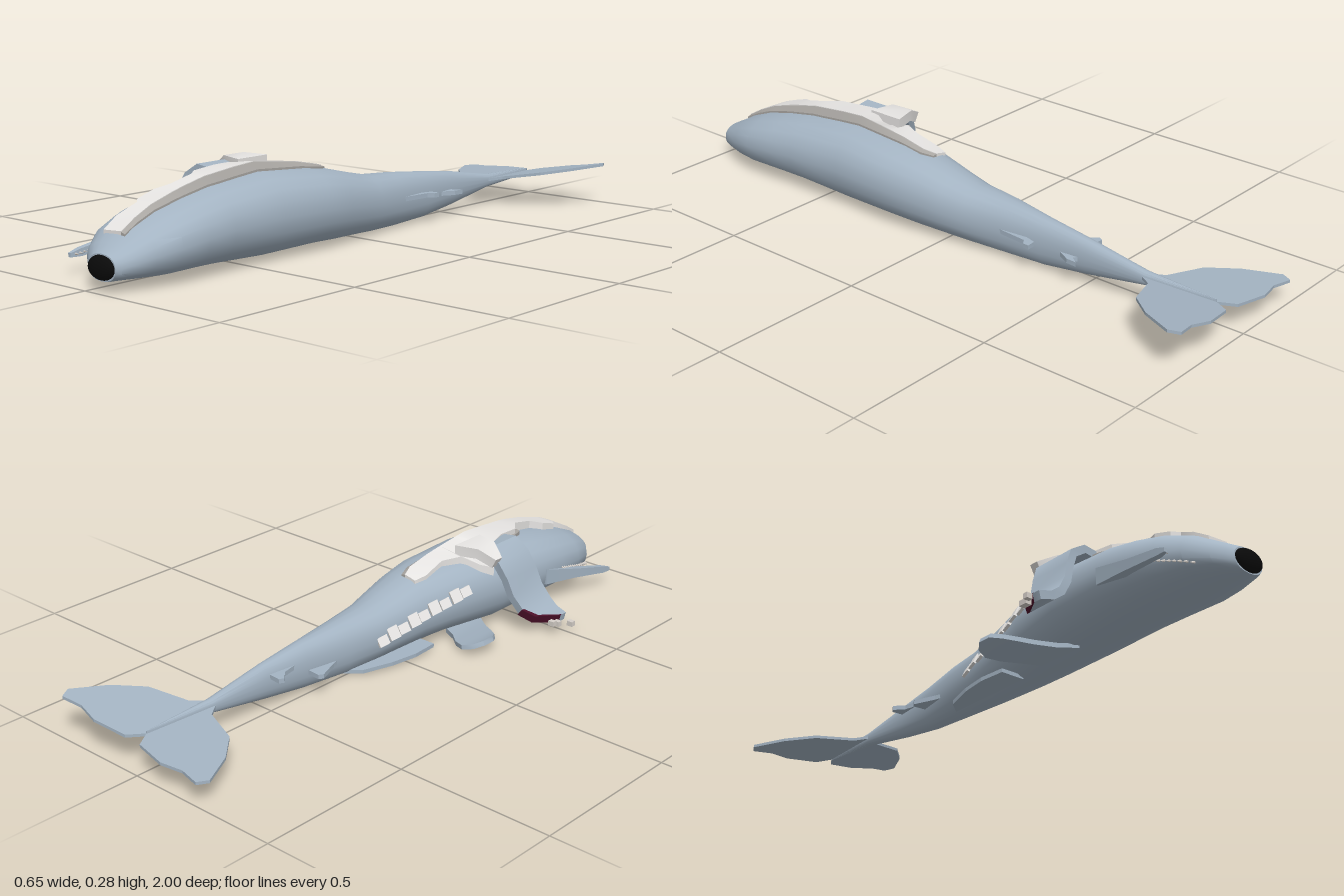
import * as THREE from 'three';
import { toCreasedNormals } from 'three/addons/utils/BufferGeometryUtils.js';

const mat = (name, color) => {
  const m = new THREE.MeshStandardMaterial({ color, side: THREE.DoubleSide });
  m.name = name;
  return m;
};

// Skin through closed rings of [x, y, z] points, with fan caps
function loft(rings, crease = 0.5) {
  const n = rings[0].length, pos = rings.flat(2), idx = [];
  const last = (rings.length - 1) * n;
  for (let i = 0; i < rings.length - 1; i++) for (let j = 0; j < n; j++) {
    const a = i * n + j, b = i * n + (j + 1) % n;
    idx.push(a, b, b + n, a, b + n, a + n);
  }
  for (let j = 1; j < n - 1; j++) idx.push(0, j + 1, j, last, last + j, last + j + 1);
  const g = new THREE.BufferGeometry();
  g.setAttribute('position', new THREE.Float32BufferAttribute(pos, 3));
  g.setIndex(idx);
  return toCreasedNormals(g, crease);
}

// Thin horizontal plate from an [x, z] outline, lifted by a height rule
function plate(outline, height, thick) {
  const shape = new THREE.Shape(outline.map(([x, z]) => new THREE.Vector2(x, -z)));
  const g = new THREE.ExtrudeGeometry(shape, { depth: thick, bevelEnabled: false });
  g.rotateX(-Math.PI / 2);
  const p = g.attributes.position;
  for (let i = 0; i < p.count; i++) p.setY(i, p.getY(i) + height(p.getX(i)));
  g.computeVertexNormals();
  return g;
}

// Body stations: z, left x, right x, bottom y, top y
const stations = [
  [-0.93, 0.033, 0.037, 0.08, 0.1], [-0.7, 0.018, 0.052, 0.065, 0.108],
  [-0.5, 0.008, 0.063, 0.032, 0.142], [-0.35, -0.008, 0.076, 0.013, 0.16],
  [-0.2, -0.035, 0.093, 0.006, 0.175], [-0.08, -0.05, 0.113, 0.007, 0.183],
  [0, -0.062, 0.13, 0.01, 0.2],
  [0.1, -0.076, 0.147, 0.012, 0.224], [0.2, -0.1, 0.162, 0.015, 0.24],
  [0.4, -0.14, 0.16, 0.008, 0.256], [0.6, -0.148, 0.164, 0.016, 0.238],
  [0.7, -0.143, 0.167, 0.018, 0.22], [0.8, -0.13, 0.165, 0.019, 0.195],
  [0.88, -0.105, 0.148, 0.024, 0.164], [0.94, -0.06, 0.122, 0.029, 0.128],
  [0.965, -0.028, 0.11, 0.031, 0.115], [0.98, -0.008, 0.1, 0.033, 0.107],
];
function section(z) {
  let i = 0;
  while (i < stations.length - 2 && stations[i + 1][0] < z) i++;
  const a = stations[i], b = stations[i + 1], t = (z - a[0]) / (b[0] - a[0]);
  const [l, r, d, u] = [1, 2, 3, 4].map(k => a[k] + (b[k] - a[k]) * t);
  return { cx: (l + r) / 2, cy: (d + u) / 2, rx: (r - l) / 2, ry: (u - d) / 2 };
}
const POWER = 2.3;
const topAt = (x, z) => {
  const s = section(z), q = Math.min(1, Math.abs((x - s.cx) / s.rx));
  return s.cy + s.ry * Math.pow(1 - Math.pow(q, POWER), 1 / POWER);
};
const sideAt = (y, z) => {
  const s = section(z), q = Math.min(1, Math.abs((y - s.cy) / s.ry));
  return s.cx - s.rx * Math.pow(1 - Math.pow(q, POWER), 1 / POWER);
};
const bodyRing = z => {
  const s = section(z), ring = [], e = 2 / POWER;
  for (let j = 0; j < 20; j++) {
    const a = j / 20 * Math.PI * 2, c = Math.cos(a), n = Math.sin(a);
    ring.push([s.cx + s.rx * Math.sign(c) * Math.abs(c) ** e, s.cy + s.ry * Math.sign(n) * Math.abs(n) ** e, z]);
  }
  return ring;
};

// Slab following a path of [x, y, zMin, zMax]; offset and thickness along its normal
function slab(path, offset, thick) {
  return loft(path.map(([x, y, z0, z1], i) => {
    const a = path[Math.max(0, i - 1)], b = path[Math.min(path.length - 1, i + 1)];
    const t = new THREE.Vector2(b[0] - a[0], b[1] - a[1]).normalize();
    const at = (o, z) => [x + t.y * o, y - t.x * o, z];
    const lo = offset, hi = offset + thick;
    return [at(lo, z1), at(hi, z1), at(hi, z0), at(lo, z0)];
  }), 0.6);
}

export function createModel() {
  const model = new THREE.Group();
  const skin = mat('blue grey skin', 0xa4b4c3), blubber = mat('pale blubber', 0xf2f0ee);
  const edge = mat('grey blubber edge', 0xa8a5a1), black = mat('black', 0x0a0a0a);
  const flesh = mat('dark red flesh', 0x4c1029), bone = mat('bone', 0xd6d0ca);
  const add = (name, g, m, parent = model) => {
    const mesh = new THREE.Mesh(g, m);
    mesh.name = name;
    parent.add(mesh);
    return mesh;
  };
  const group = name => {
    const g = new THREE.Group();
    g.name = name;
    model.add(g);
    return g;
  };

  add('body', loft(stations.map(s => bodyRing(s[0])), 0.55), skin);

  // Blunt snout end
  const nose = add('noseCap', new THREE.SphereGeometry(1, 24, 12), black);
  nose.scale.set(0.051, 0.034, 0.02);
  nose.position.set(0.046, 0.07, 0.98);

  // Tail flukes, one side lifted and the other drooping
  const lobe = [[0, -0.67], [0.045, -0.735], [0.165, -0.78], [0.235, -0.86], [0.288, -0.965],
    [0.27, -0.998], [0.205, -0.985], [0.135, -1], [0.03, -0.98], [0, -0.93]];
  for (const [side, slope] of [[1, 0.17], [-1, 0.06]]) {
    const pts = lobe.map(([x, z]) => [0.035 + side * x, z]);
    add(side > 0 ? 'leftFluke' : 'rightFluke',
      plate(pts, x => 0.083 + slope * (x - 0.035), 0.009), skin);
  }

  // Pectoral fin curving up to its tip: x, y, zMin, zMax
  add('pectoralFin', slab([[-0.03, 0.004, 0.24, 0.4], [-0.08, 0.005, 0.215, 0.36], [-0.13, 0.014, 0.17, 0.32],
    [-0.17, 0.021, 0.15, 0.295], [-0.205, 0.029, 0.163, 0.268], [-0.226, 0.038, 0.19, 0.235]], 0, 0.015), skin);
  // Loose belly skin near the ground
  add('bellySkin', plate([[0, -0.2], [-0.045, -0.16], [-0.075, -0.06], [-0.088, 0.03], [-0.082, 0.12],
    [0, 0.12]], () => 0.012, 0.012), skin);

  // Small hooked skin tags along the tail stock: outline and height
  [
    [[[0.05, -0.2], [0.09, -0.34], [0.12, -0.342], [0.118, -0.322], [0.1, -0.31], [0.09, -0.2]], 0.088],
    [[[0.04, -0.5], [0.075, -0.47], [0.095, -0.495], [0.092, -0.46], [0.07, -0.42], [0.04, -0.4]], 0.075],
    [[[0.02, -0.35], [-0.05, -0.355], [-0.058, -0.34], [-0.03, -0.27], [-0.01, -0.2], [0.02, -0.2]], 0.068],
    [[[0.03, -0.49], [-0.03, -0.495], [-0.038, -0.48], [-0.01, -0.45], [0, -0.4], [0.03, -0.4]], 0.1],
  ].forEach(([pts, y], i) => add('skinTag' + (i + 1), plate(pts, () => y, 0.014), skin));

  // Raised strip of exposed blubber: z, left x, right x
  const strip = [[0.1, -0.02, 0.02], [0.14, -0.03, 0.035], [0.22, -0.025, 0.035], [0.28, -0.05, 0.035],
    [0.32, -0.1, 0.035], [0.36, -0.12, 0.035], [0.4, -0.075, 0.035], [0.48, -0.05, 0.035],
    [0.56, -0.045, 0.038], [0.6, -0.012, 0.038], [0.68, -0.01, 0.04], [0.72, -0.035, 0.04],
    [0.78, -0.035, 0.04], [0.8, -0.015, 0.04], [0.86, -0.03, 0.042], [0.91, -0.025, 0.045]];
  const rise = z => 0.008 + 0.02 * Math.sin(Math.PI * Math.min(1, Math.max(0, (z - 0.08) / 0.86)));
  add('blubberStrip', loft(strip.map(([z, l, r]) => [
    [r, topAt(r, z) - 0.03, z], [r, topAt(r, z) + rise(z), z],
    [l, topAt(l, z) + rise(z), z], [l, topAt(l, z) - 0.03, z]]), 0.5), blubber);
  add('blubberStripEdge', loft(strip.map(([z, , r]) => [
    [r + 0.014, topAt(r + 0.014, z) - 0.02, z], [r + 0.014, topAt(r + 0.014, z) + 0.005, z],
    [r, topAt(r, z) + rise(z) - 0.002, z], [r, topAt(r, z) - 0.02, z]]), 0.5), edge);
  add('blubberStep', loft([[0.46, -0.07], [0.52, -0.062], [0.59, -0.04]].map(([z, l]) => [
    [-0.02, 0.2, z], [-0.02, topAt(-0.02, z) + 0.012, z],
    [l, topAt(l, z) + 0.012, z], [l, 0.2, z]])), edge);

  // Peeled slab of blubber arching down to the ground
  const arch = [[-0.04, 0.238, 0.31, 0.5], [-0.09, 0.246, 0.33, 0.5], [-0.125, 0.224, 0.35, 0.5],
    [-0.148, 0.175, 0.365, 0.51], [-0.166, 0.12, 0.375, 0.52], [-0.2, 0.068, 0.39, 0.53],
    [-0.235, 0.042, 0.425, 0.528], [-0.28, 0.031, 0.495, 0.522]];
  add('peeledSlab', slab(arch, 0, 0.026), skin);
  add('peeledSlabRoot', slab([[-0.02, 0.248, 0.29, 0.41], [-0.09, 0.25, 0.31, 0.39], [-0.135, 0.226, 0.33, 0.36]],
    0, 0.034), blubber);
  // Raw flesh along the torn edge of the slab
  add('tornEdge', slab(arch.slice(5).map(([x, y, z], i) => [x, y, z - 0.006 - 0.006 * (i % 2), z + 0.004]),
    0, 0.027), flesh);
  const scraps = group('scraps');
  for (const [x, y, z] of [[-0.316, 0.032, 0.51], [-0.284, 0.041, 0.455], [-0.29, 0.036, 0.475]]) {
    const s = add('scrap', new THREE.BoxGeometry(0.02, 0.016, 0.016), bone, scraps);
    s.position.set(x, y, z);
  }

  // Open lower jaw
  const root = new THREE.Vector3(-0.128, 0.112, 0.6), tip = new THREE.Vector3(-0.181, 0.058, 0.9);
  const jawRing = (t, w, h) => {
    const p = root.clone().lerp(tip, t);
    return [[1, -1], [1, 1], [-1, 1], [-1, -1]].map(([a, b]) => [p.x + a * w, p.y + b * h, p.z]);
  };
  add('lowerJaw', loft([jawRing(0, 0.02, 0.026), jawRing(0.45, 0.013, 0.016), jawRing(0.9, 0.009, 0.011),
    jawRing(1, 0.005, 0.006)], 0.4), skin);

  // Facing rows of teeth on the jaw and the head
  const teeth = group('teeth');
  for (let i = 0; i < 16; i++) {
    const t = i / 15, p = root.clone().lerp(tip, 0.35 + 0.6 * t);
    const lower = add('lowerTooth', new THREE.ConeGeometry(0.005, 0.02, 5), bone, teeth);
    lower.position.set(p.x + 0.017 - 0.005 * t, p.y, p.z);
    lower.rotation.z = -Math.PI / 2;
    const z = 0.69 + 0.21 * t, y = 0.115 - 0.06 * t;
    const upper = add('upperTooth', new THREE.ConeGeometry(0.005, 0.02, 5), bone, teeth);
    upper.position.set(sideAt(y, z) - 0.006, y, z);
    upper.rotation.z = Math.PI / 2 + 0.3;
  }

  // Ragged pale tear along the flank
  const tear = group('flankTear');
  for (let i = 0; i < 9; i++) {
    const z = -0.08 + i * 0.04, y = 0.094 + i * 0.009;
    const piece = add('tearPiece', new THREE.BoxGeometry(0.009, 0.03 + (i % 2) * 0.01, 0.036), blubber, tear);
    piece.position.set(sideAt(y, z) - 0.003, y + (i % 2) * 0.006, z);
    piece.rotation.set(-0.2, -0.22, -0.5);
  }
  return model;
}
